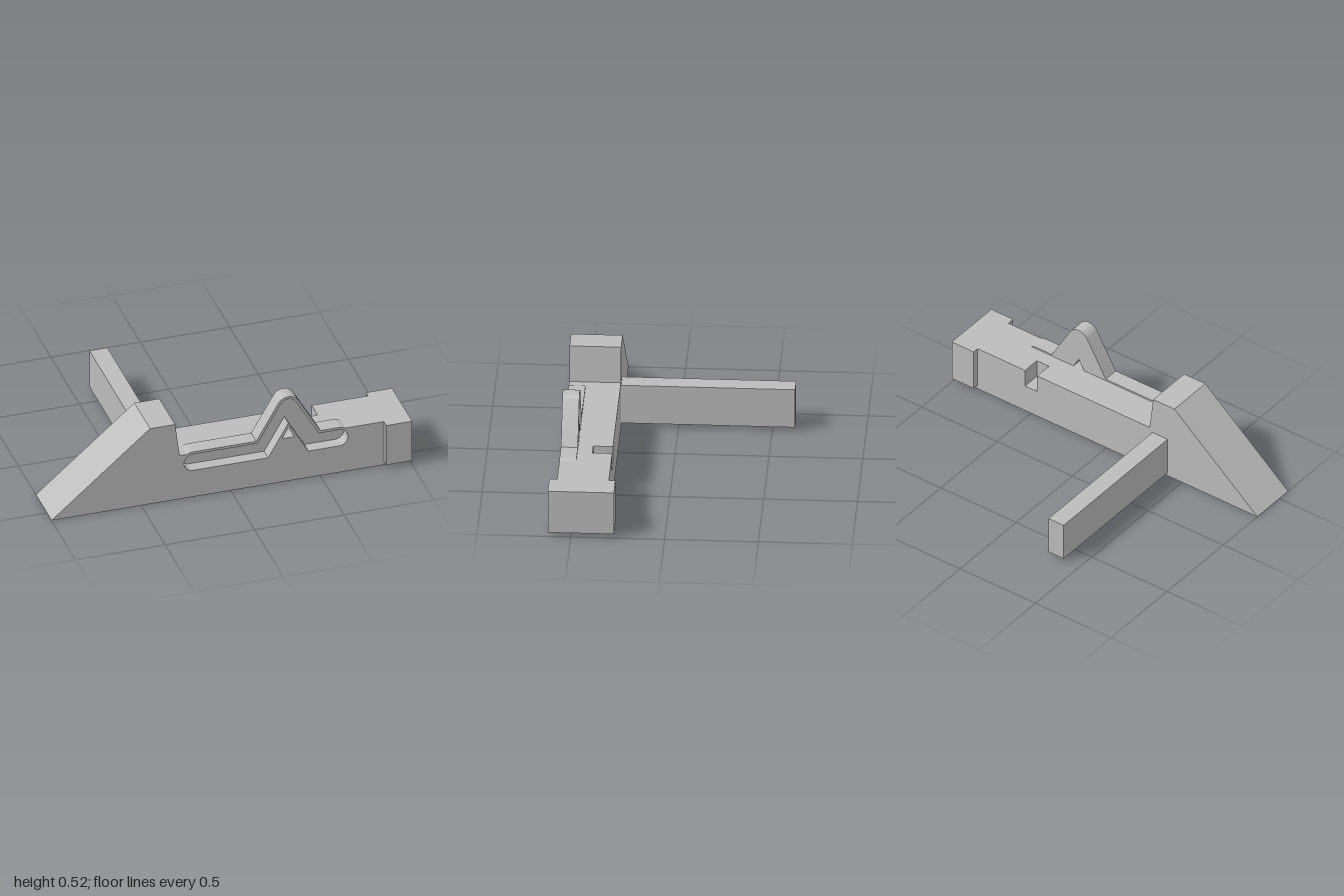
import * as THREE from 'three';
import { toCreasedNormals } from 'three/addons/utils/BufferGeometryUtils.js';

const V = (x, y) => new THREE.Vector2(x, y);

// Clip track: two straight ends joined by a 60 degree peak
const LEFT = -0.21, RIGHT = 0.605, MID = 0.215;
const PEAK_X = 0.322, PEAK_Y = 0.46, TAN30 = Math.tan(Math.PI / 6);
const RUN = (PEAK_Y - MID) * TAN30;
const GROOVE_R = 0.05, SHELL_R = 0.065, DECK = 0.27;

// Points on an arc, angles in degrees
function arc(cx, cy, r, from, to, steps = 16) {
  return Array.from({ length: steps + 1 }, (_, i) => {
    const a = THREE.MathUtils.degToRad(from + (to - from) * i / steps);
    return V(cx + r * Math.cos(a), cy + r * Math.sin(a));
  });
}

// Upper edge of the peak from right to left, at distance r from the track line
const peakEdge = (r) => [
  V(PEAK_X + RUN + r * TAN30, MID + r),
  ...arc(PEAK_X, PEAK_Y, r, 30, 150),
  V(PEAK_X - RUN - r * TAN30, MID + r),
];

// Closed outline of the recessed track
const grooveOutline = (r) => [
  V(PEAK_X - RUN + r * TAN30, MID - r),
  V(PEAK_X, PEAK_Y - 2 * r),
  V(PEAK_X + RUN - r * TAN30, MID - r),
  ...arc(RIGHT, MID, r, -90, 90),
  ...peakEdge(r),
  ...arc(LEFT, MID, r, 90, 270),
];

// Body side profile; topEdge runs from right to left along the deck
const bodyOutline = (topEdge = []) => [
  V(-1, 0), V(0.865, 0), V(0.865, 0.03), V(0.856, 0.03), V(0.856, DECK),
  ...topEdge,
  V(-0.285, DECK), V(-0.31, 0.47), V(-0.45, 0.47),
];

export function createModel() {
  const model = new THREE.Group();
  model.name = 'wedgeClip';
  const grey = new THREE.MeshStandardMaterial({ color: 0xbcbcbc });
  grey.name = 'plain grey';

  function add(name, geometry) {
    const mesh = new THREE.Mesh(geometry, grey);
    mesh.name = name;
    model.add(mesh);
    return mesh;
  }

  function slab(name, outline, z0, z1, holes = []) {
    const shape = new THREE.Shape(outline);
    shape.holes = holes.map((points) => new THREE.Path(points));
    const geometry = new THREE.ExtrudeGeometry(shape, { depth: z1 - z0, bevelEnabled: false });
    geometry.translate(0, 0, z0);
    add(name, toCreasedNormals(geometry, 0.4));
  }

  function block(name, x0, x1, y0, y1, z0, z1) {
    add(name, new THREE.BoxGeometry(x1 - x0, y1 - y0, z1 - z0))
      .position.set((x0 + x1) / 2, (y0 + y1) / 2, (z0 + z1) / 2);
  }

  // Rear body, with a square notch in its back edge
  const notch = [V(0.54, DECK), V(0.54, 0.165), V(0.46, 0.165), V(0.46, DECK)];
  slab('notchedBody', bodyOutline(notch), 0.305, 0.41);
  slab('middleBody', bodyOutline(), 0.41, 0.49);

  // Front body merged with the raised shell around the track
  const rise = THREE.MathUtils.radToDeg(Math.asin((DECK - MID) / SHELL_R));
  const shellTop = [
    ...arc(RIGHT, MID, SHELL_R, rise, 90, 6),
    ...peakEdge(SHELL_R),
    ...arc(LEFT, MID, SHELL_R, 90, 180 - rise, 6),
  ];
  const windowTop = PEAK_Y - 2 * SHELL_R;
  const halfBase = (windowTop - DECK) * TAN30;
  const peakWindow = [V(PEAK_X - halfBase, DECK), V(PEAK_X + halfBase, DECK), V(PEAK_X, windowTop)];
  slab('trackBacking', bodyOutline(shellTop), 0.49, 0.51, [peakWindow]);
  slab('groovedFront', bodyOutline(shellTop), 0.51, 0.58, [peakWindow, grooveOutline(GROOVE_R)]);

  // Wider end block and the long arm reaching back
  block('endBlock', 0.855, 1, 0.024, DECK, 0.27, 0.622);
  block('rearArm', -0.405, -0.305, 0.02, 0.245, -0.622, 0.306);

  return model;
}
